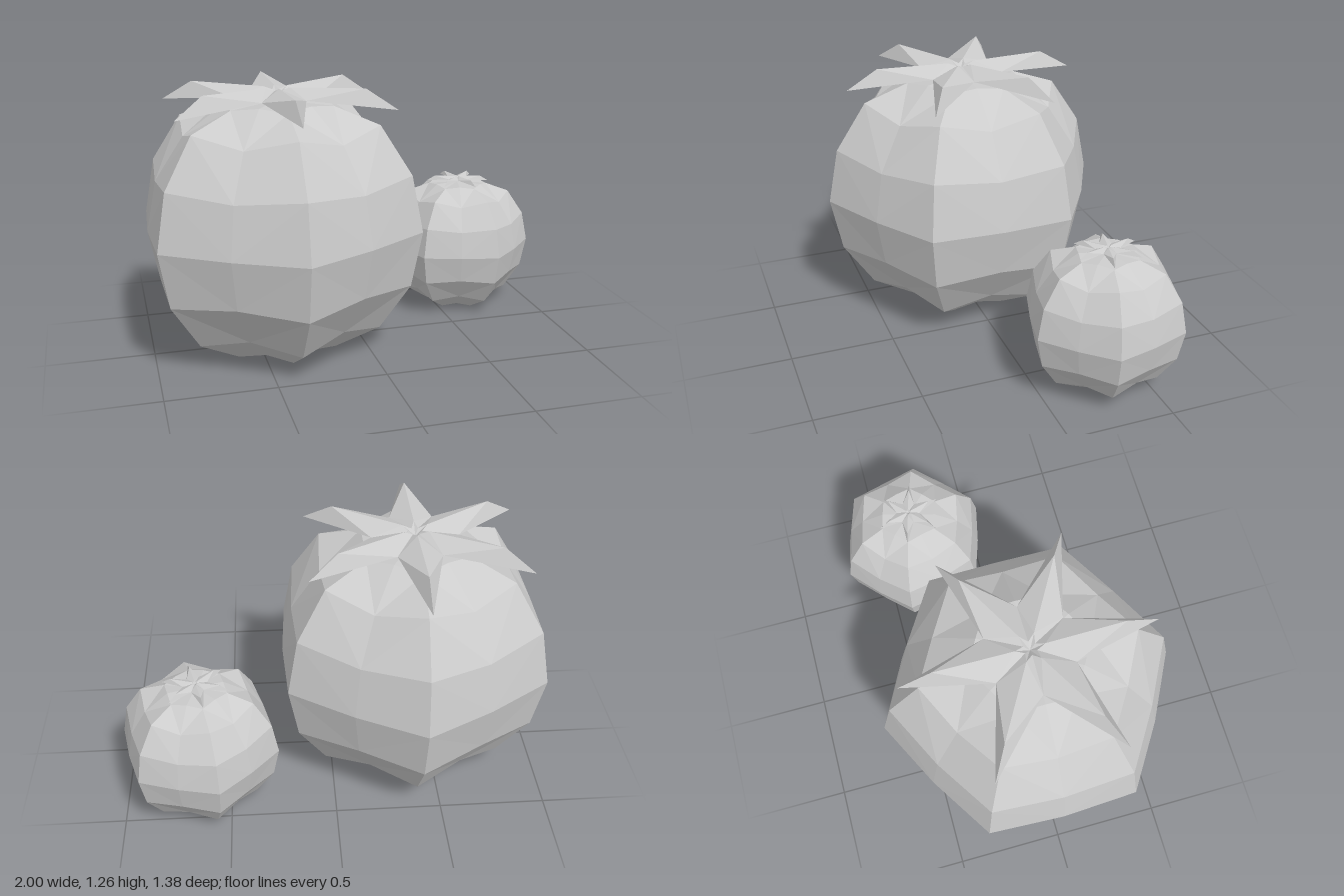
import * as THREE from 'three';

const LOBES = 6;
const SIDES = LOBES * 2;

// Lofts rings upward; each ring is [ridgeRadius, ridgeY, valleyRadius, valleyY],
// alternating around the axis.
function loftStar(rings, material) {
  const point = (ring, j) => {
    const a = (j % SIDES) * Math.PI * 2 / SIDES;
    const [r, y] = j % 2 ? [ring[2], ring[3]] : [ring[0], ring[1]];
    return new THREE.Vector3(Math.cos(a) * r, y, Math.sin(a) * r);
  };
  const pos = [];
  const tri = (a, b, c) => {
    const area = b.clone().sub(a).cross(c.clone().sub(a)).length();
    if (area > 1e-7) for (const p of [a, b, c]) pos.push(p.x, p.y, p.z);
  };
  for (let i = 0; i < rings.length - 1; i++) {
    for (let j = 0; j < SIDES; j++) {
      const a = point(rings[i], j), b = point(rings[i], j + 1);
      const c = point(rings[i + 1], j), d = point(rings[i + 1], j + 1);
      // mirror the diagonal so both halves of a lobe match
      if (j % 2) { tri(a, c, d); tri(a, d, b); }
      else { tri(a, c, b); tri(b, c, d); }
    }
  }
  const geo = new THREE.BufferGeometry();
  geo.setAttribute('position', new THREE.Float32BufferAttribute(pos, 3));
  geo.computeVertexNormals();
  return new THREE.Mesh(geo, material);
}

// Lobed sphere, flattened at the base and crown
function bodyRings() {
  const R = 0.69, r = 0.615, cy = 0.61;
  const rings = [[0, 0.01, 0, 0.01], [0.27, 0, 0.235, 0.025]];
  for (const deg of [-45, -22.5, 0, 22.5, 45]) {
    const t = THREE.MathUtils.degToRad(deg);
    rings.push([R * Math.cos(t), cy + R * Math.sin(t), r * Math.cos(t), cy + r * Math.sin(t)]);
  }
  rings.push([0.27, 1.175, 0.235, 1.19], [0, 1.19, 0, 1.19]);
  return rings;
}

// Six ridged leaves with drooping tips around a small dimple
const leafRings = [
  [0.57, 0, 0.2, 0.04],
  [0.42, 0.09, 0.2, 0.04],
  [0.065, 0.08, 0.03, 0.065],
  [0, 0.04, 0, 0.04],
];

function makeFruit(name, scale, leafScale, leafY, angle) {
  const fruit = new THREE.Group();
  fruit.name = name;
  const material = new THREE.MeshStandardMaterial({ color: 0xcccccc, flatShading: true });
  const leafMaterial = material.clone();
  leafMaterial.side = THREE.DoubleSide;

  const body = loftStar(bodyRings(), material);
  body.name = 'lobedBody';
  body.scale.setScalar(scale);

  const leaves = loftStar(leafRings, leafMaterial);
  leaves.name = 'leafCrown';
  leaves.scale.setScalar(leafScale);
  leaves.position.y = leafY;

  fruit.add(body, leaves);
  fruit.rotation.y = -angle;
  return fruit;
}

export function createModel() {
  const group = new THREE.Group();
  group.name = 'fruitPair';

  const large = makeFruit('largeFruit', 1, 1, 1.17, Math.PI / 2);
  large.position.set(-0.385, 0, 0);

  const small = makeFruit('smallFruit', 0.548, 0.28, 0.658, Math.PI / 12);
  small.position.set(0.63, 0, -0.325);

  group.add(large, small);
  return group;
}
